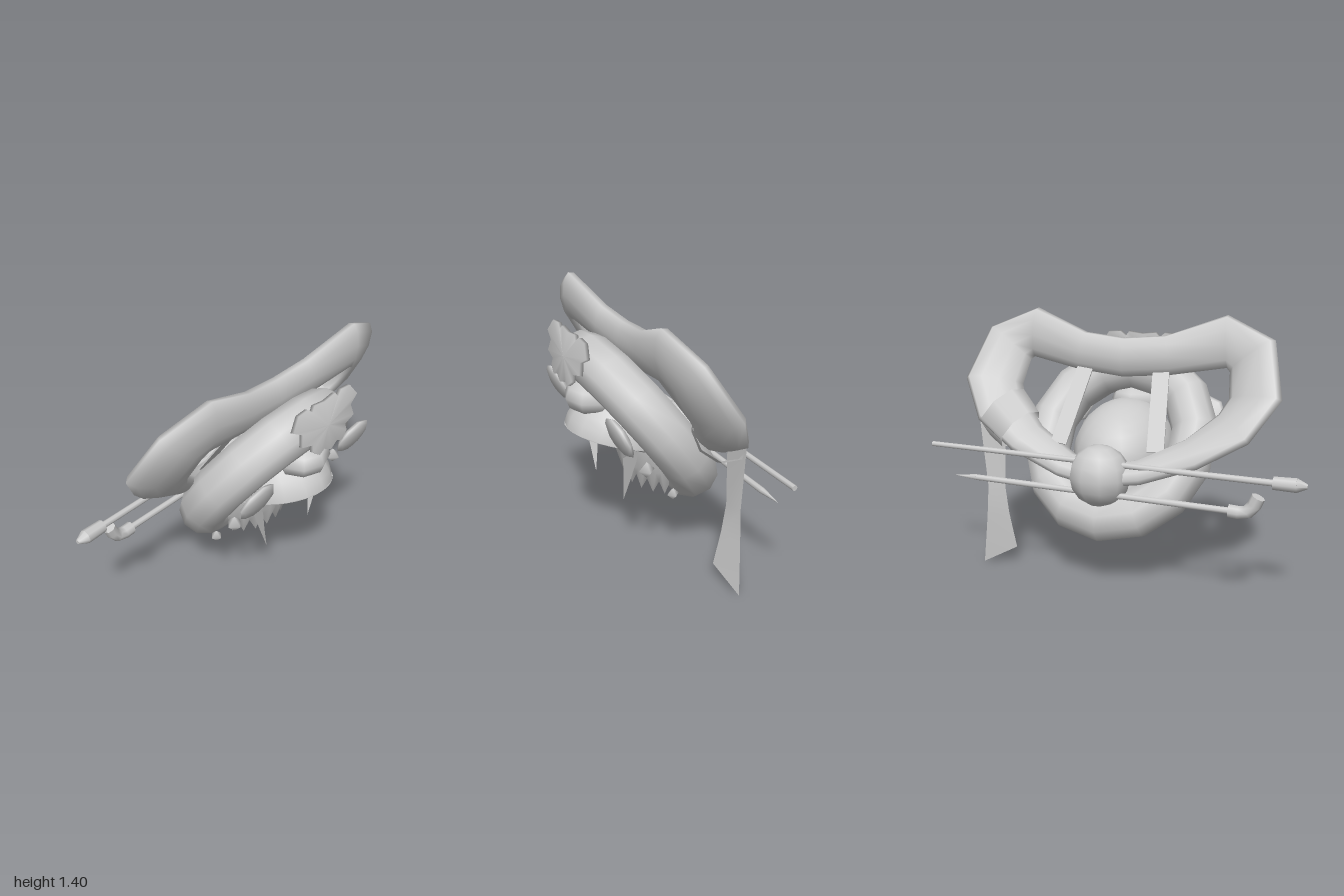
import * as THREE from 'three';

const CX = 0.04; // symmetry axis of the hairpiece
const solid = new THREE.MeshStandardMaterial({ color: 0xcccccc });
const sheet = new THREE.MeshStandardMaterial({ color: 0xcccccc, side: THREE.DoubleSide });

function add(parent, name, geometry, material, pos = [0, 0, 0], rot = [0, 0, 0], scale = [1, 1, 1]) {
  const m = new THREE.Mesh(geometry, material);
  m.name = name;
  m.position.set(...pos);
  m.rotation.set(...rot);
  m.scale.set(...scale);
  parent.add(m);
  return m;
}

// Grid surface from rows of points; wrap flags close it in each direction
function grid(rows, wrapRows = false, wrapCols = false) {
  const n = rows[0].length, idx = [];
  const R = wrapRows ? rows.length : rows.length - 1, C = wrapCols ? n : n - 1;
  for (let i = 0; i < R; i++) for (let j = 0; j < C; j++) {
    const i2 = (i + 1) % rows.length, j2 = (j + 1) % n;
    const a = i * n + j, b = i2 * n + j, c = i2 * n + j2, d = i * n + j2;
    idx.push(a, b, d, b, c, d);
  }
  const g = new THREE.BufferGeometry();
  g.setAttribute('position', new THREE.Float32BufferAttribute(rows.flat(2), 3));
  g.setIndex(idx);
  g.computeVertexNormals();
  return g;
}

// Closed planar loop of hair, points [x, y, half width] counter-clockwise;
// the section leans so that its outer edge lies towards the back
function hairLoop(points, sides = 10) {
  const n = points.length;
  const rows = points.map(([x, y, r], i) => {
    const a = points[(i + n - 1) % n], b = points[(i + 1) % n];
    const t = new THREE.Vector2(b[0] - a[0], b[1] - a[1]).normalize();
    return Array.from({ length: sides }, (_, j) => {
      const q = -j / sides * Math.PI * 2, c = Math.cos(q);
      return [x - t.y * c * r, y + t.x * c * r, Math.sin(q) * 0.06 + c * r * 0.4];
    });
  });
  return grid(rows, true, true);
}

// Rod between two points
function rod(parent, name, from, to, r0, r1, sides = 8) {
  const a = new THREE.Vector3(...from), b = new THREE.Vector3(...to);
  const m = add(parent, name, new THREE.CylinderGeometry(r1, r0, a.distanceTo(b), sides), solid);
  m.position.copy(a).add(b).multiplyScalar(0.5);
  m.quaternion.setFromUnitVectors(new THREE.Vector3(0, 1, 0), b.sub(a).normalize());
}

export function createModel() {
  const root = new THREE.Group();
  root.name = 'hairpiece';

  // Thick roll around the head
  add(root, 'headRoll', new THREE.TorusGeometry(0.437, 0.132, 10, 14), solid, [CX, 0.735, 0], [0.628, 0, Math.PI / 2], [1, 0.935, 1]);

  // Large two-lobed loop standing behind the roll
  const half = [[0.24, -0.01, 0.095], [0.54, 0.085, 0.125], [0.68, 0.01, 0.135], [0.725, -0.22, 0.145],
    [0.64, -0.38, 0.13], [0.45, -0.53, 0.1], [0.2, -0.65, 0.075]];
  const loop = new THREE.Group();
  loop.name = 'backLoop';
  loop.position.set(CX, 1.195, 0.087);
  loop.rotation.x = 0.5586;
  root.add(loop);
  const mirrored = half.map(([x, y, r]) => [-x, y, r]);
  add(loop, 'loopHair', hairLoop([[0, -0.035, 0.095], ...mirrored, [0, -0.69, 0.07], ...half.slice().reverse()]), solid);
  add(loop, 'ribbonCuff', new THREE.CylinderGeometry(0.155, 0.135, 0.17, 8, 1, true), sheet,
    [0.57, -0.43, 0], [0, 0, Math.atan2(0.17, 0.21) - Math.PI / 2], [1, 1, 0.75]);

  // Ribbon hanging from the cuff
  add(root, 'hangingRibbon', grid([
    [[0.62, 0.83, -0.19], [0.77, 0.82, -0.2]],
    [[0.64, 0.46, -0.19], [0.73, 0.46, -0.215]],
    [[0.63, 0.3, -0.175], [0.745, 0.28, -0.215]],
    [[0.6, 0.095, -0.155], [0.785, 0.0, -0.2]],
  ]), sheet);

  // Cap, front top knob and rear bun
  add(root, 'hairCap', new THREE.SphereGeometry(1, 16, 8, 0, Math.PI * 2, 0, Math.PI / 2), sheet,
    [CX, 0.66, 0.08], [-0.25, 0, 0], [0.27, 0.27, 0.33]);
  add(root, 'topKnob', new THREE.SphereGeometry(0.14, 8, 6), solid, [0.03, 0.9, 0.26], [0, 0, 0], [1.08, 0.72, 1]);
  add(root, 'rearBun', new THREE.SphereGeometry(0.162, 10, 8), solid, [CX, 0.615, -0.29], [0, 0, 0], [1, 1, 0.87]);

  // Lip under the cap rim, then an upright fringe ending in a jagged edge
  const rim = [], under = [], middle = [], tips = [], steps = 16;
  for (let i = 0; i <= steps; i++) {
    const u = (i / steps - 0.5) * Math.PI, s = Math.sin(u), c = Math.cos(u);
    rim.push([CX + 0.27 * s, 0.66 + 0.08 * c, 0.08 + 0.32 * c]);
    under.push([CX + 0.265 * s, 0.65 - 0.05 * c, -0.02 + 0.12 * c]);
    middle.push([CX + 0.25 * s, 0.5, -0.04 + 0.13 * c]);
    tips.push([CX + 0.19 * s, (i % 2 ? 0.33 : 0.4) + 0.03 * c, -0.1 + 0.155 * c]);
  }
  add(root, 'capLip', grid([rim, under]), sheet);
  add(root, 'fringe', grid([under, middle, tips]), sheet);

  for (const s of [-1, 1]) {
    const side = s > 0 ? 'left' : 'right';

    // Pointed side lock, leaning inwards to its tip
    const lock = new THREE.ShapeGeometry(new THREE.Shape([[0.205, 0.64], [0.185, 0.5], [0.17, 0.355],
      [0.145, 0.48], [0.125, 0.6], [0.12, 0.67]].map(p => new THREE.Vector2(...p))));
    const p = lock.attributes.position;
    for (let i = 0; i < p.count; i++) {
      const z = p.getX(i), y = p.getY(i);
      p.setXYZ(i, CX + s * (0.275 - 0.25 * (0.75 - y)), y, z);
    }
    lock.computeVertexNormals();
    add(root, side + 'Lock', lock, sheet);

    // Round side ornament and gems on the roll
    add(root, side + 'Disc', new THREE.SphereGeometry(0.118, 8, 6).rotateX(Math.PI / 2), solid,
      [CX + s * 0.39, 0.835, 0.29], [0.4, 0, 0], [1, 0.95, 0.27]);
    add(root, side + 'UpperGem', new THREE.SphereGeometry(0.043, 4, 2), solid, [CX + s * 0.41, 0.64, 0.155]);
    add(root, side + 'LowerGem', new THREE.SphereGeometry(0.033, 4, 2), solid, [CX + s * 0.365, 0.44, -0.02]);

    // Flat strap from the loop down to the cap
    add(root, side + 'Strap', new THREE.BoxGeometry(0.09, 0.44, 0.008), solid,
      [CX + s * 0.24, 0.92, -0.08], [0.6, 0, s * 0.12]);
  }

  // Slightly domed flower plate at the top of the roll
  const edge = [[0, 0.125], [0.08, 0.135], [0.1, 0.11], [0.13, 0.135], [0.2, 0.13], [0.25, 0.065], [0.19, 0.03],
    [0.205, -0.03], [0.13, -0.05], [0.135, -0.085], [0.09, -0.12], [0.05, -0.105]];
  const outline = [...edge.slice(1).map(([x, y]) => [-x, y]), [0, -0.13], ...edge.slice(1).reverse(), edge[0]];
  const ring = (k, z) => outline.map(([x, y]) => [x * k, y * k, z]);
  add(root, 'flowerPlate', grid([ring(0, -0.01), ring(1, -0.01), ring(1, 0.01), ring(0, 0.015)], false, true), sheet,
    [CX, 1.13, 0.395], [-0.2, 0, 0]);

  // Upper hairpin with a bullet-shaped head
  rod(root, 'upperPin', [-0.86, 0.676, -0.295], [1, 0.7, -0.315], 0.017, 0.014);
  rod(root, 'upperPinHead', [-0.84, 0.676, -0.295], [-0.95, 0.675, -0.292], 0.033, 0.036);
  rod(root, 'upperPinTip', [-0.95, 0.675, -0.292], [-1, 0.674, -0.29], 0.036, 0.012);

  // Lower hairpin with a bent head and a pointed end
  rod(root, 'lowerPin', [-0.66, 0.525, -0.33], [0.73, 0.545, -0.335], 0.017, 0.016);
  rod(root, 'lowerPinTip', [0.73, 0.545, -0.335], [0.86, 0.545, -0.335], 0.016, 0.001);
  const bend = new THREE.CatmullRomCurve3([[-0.78, 0.61], [-0.755, 0.555], [-0.72, 0.525], [-0.64, 0.525]]
    .map(([x, y]) => new THREE.Vector3(x, y, -0.33)));
  add(root, 'lowerPinHead', new THREE.TubeGeometry(bend, 4, 0.034, 8), sheet);
  for (const [x, y, turn] of [[-0.78, 0.61, -1.15], [-0.64, 0.525, 0]])
    add(root, 'pinHeadCap', new THREE.CircleGeometry(0.034, 8).rotateY(Math.PI / 2), sheet, [x, y, -0.33], [0, 0, turn]);

  return root;
}
